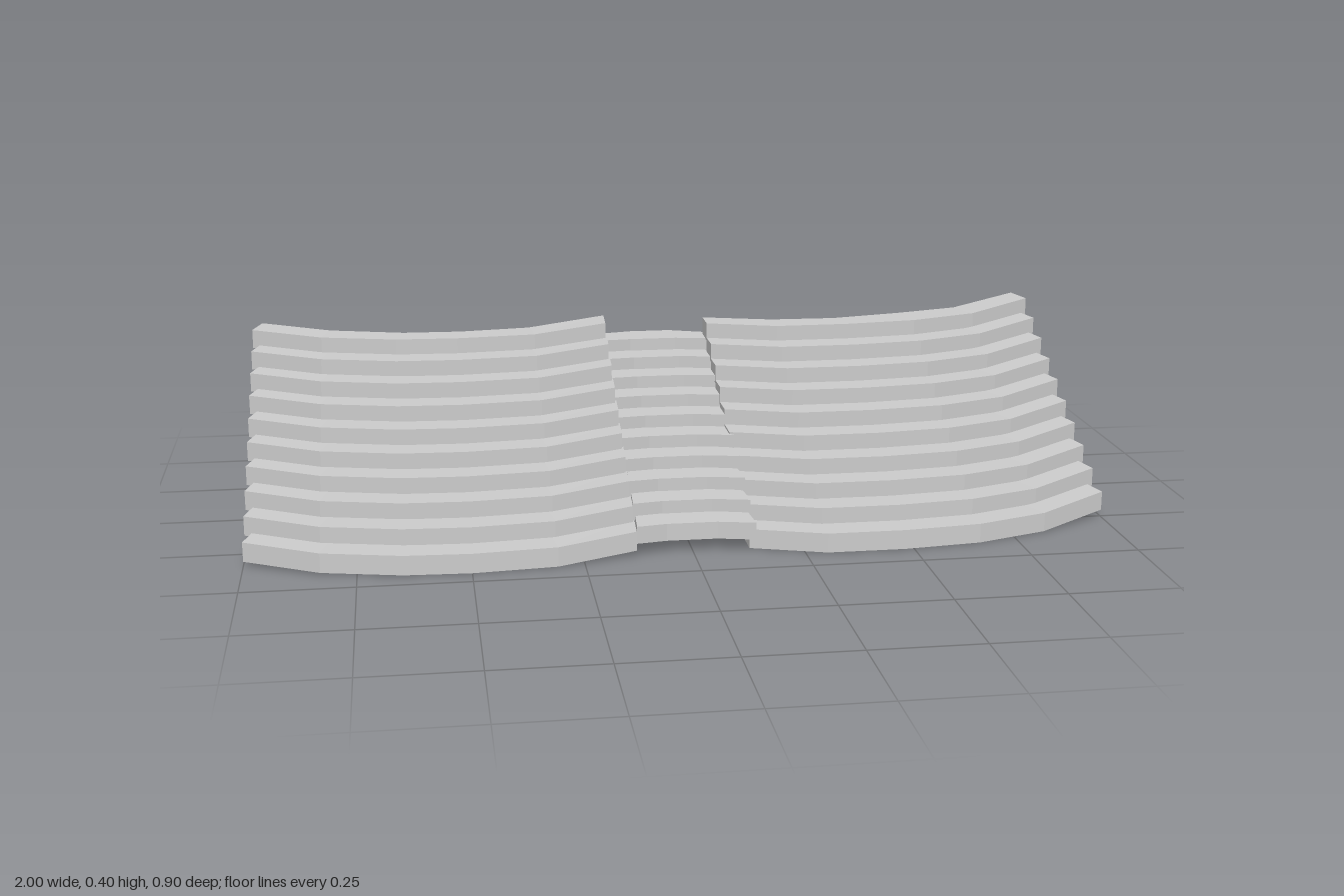
import * as THREE from 'three';

const material = new THREE.MeshStandardMaterial({ color: 0xcccccc, flatShading: true });
const ROWS = 10;

// Each section is a bent slab repeated as steps.
// front / back: [x, z] along the first step's edges; lift: bottom height at each point
const sections = [
  {
    name: 'rightWingStep', thickness: 0.045, rise: 0.0375, run: 0.0704,
    front: [[-1, 0.33], [-0.83, 0.41], [-0.65, 0.44], [-0.5, 0.447], [-0.31, 0.43], [-0.13, 0.385]],
    back: [[-0.98, 0.254], [-0.81, 0.334], [-0.63, 0.368], [-0.49, 0.373], [-0.32, 0.351], [-0.125, 0.294]],
    lift: [0.01, 0.004, 0, 0, 0, 0.013],
  },
  {
    name: 'middleStep', thickness: 0.04, rise: 0.03, run: 0.0756,
    front: [[-0.13, 0.393], [-0.06, 0.37], [0.055, 0.37], [0.14, 0.395]],
    back: [[-0.125, 0.313], [-0.05, 0.28], [0.05, 0.28], [0.135, 0.322]],
    lift: [0.032, 0.028, 0.028, 0.03],
  },
  {
    name: 'leftWingStep', thickness: 0.045, rise: 0.0375, run: 0.0704,
    front: [[0.13, 0.365], [0.3, 0.42], [0.48, 0.42], [0.66, 0.4], [0.83, 0.345], [1, 0.255]],
    back: [[0.13, 0.294], [0.3, 0.343], [0.46, 0.348], [0.64, 0.31], [0.8, 0.269], [0.983, 0.179]],
    lift: [0, 0, 0, 0, 0.001, 0.017],
  },
];

// Bend a segmented box so its columns follow the front and back edges
function stepGeometry({ front, back, lift, thickness }) {
  const n = front.length - 1;
  const geometry = new THREE.BoxGeometry(n, thickness, 1, n, 1, 1);
  const p = geometry.attributes.position;
  for (let i = 0; i < p.count; i++) {
    const column = Math.round(p.getX(i) + n / 2);
    const [x, z] = (p.getZ(i) > 0 ? front : back)[column];
    p.setXYZ(i, x, p.getY(i) + thickness / 2 + lift[column], z);
  }
  geometry.computeVertexNormals();
  return geometry;
}

export function createModel() {
  const model = new THREE.Group();
  model.name = 'curvedSteps';
  for (const section of sections) {
    const geometry = stepGeometry(section);
    for (let row = 0; row < ROWS; row++) {
      const step = new THREE.Mesh(geometry, material);
      step.name = section.name + (row + 1);
      step.position.set(0, row * section.rise, -row * section.run);
      model.add(step);
    }
  }
  return model;
}
